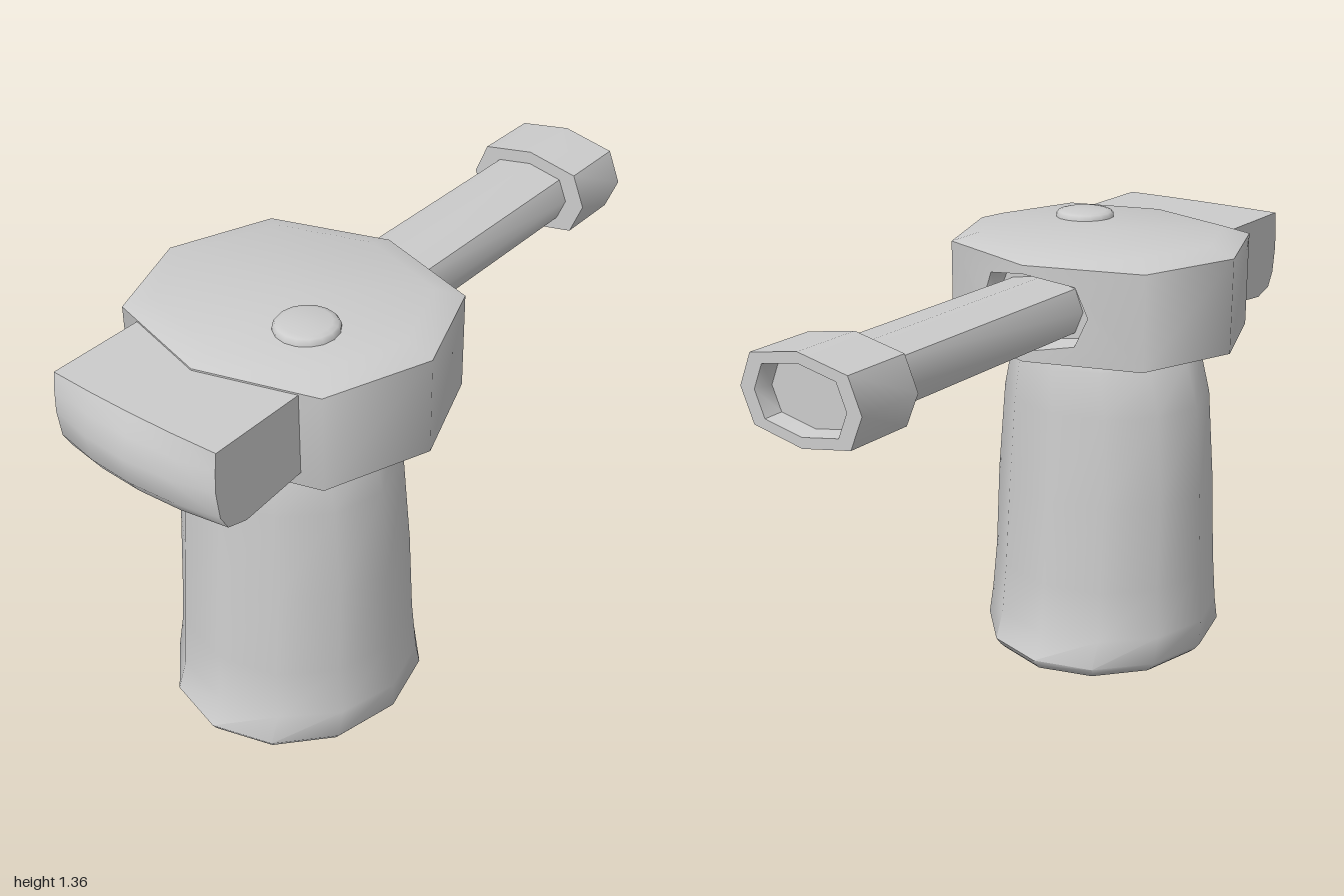
import * as THREE from 'three';
import { mergeGeometries, toCreasedNormals } from 'three/addons/utils/BufferGeometryUtils.js';

const material = new THREE.MeshStandardMaterial({ color: 0xcccccc });
const CX = -0.335, AXIS_Y = 1.17;
const V = (x, y, z) => new THREE.Vector3(x, y, z);

// Joins closed rings of equal length; capStart / capEnd are optional centre points
function loft(rings, { capStart, capEnd, skip = () => false } = {}) {
  const pos = [];
  const tri = (...pts) => pts.forEach(p => pos.push(p.x, p.y, p.z));
  const n = rings[0].length, last = rings[rings.length - 1];
  for (let i = 0; i < n; i++) {
    const j = (i + 1) % n;
    for (let k = 0; k + 1 < rings.length; k++) {
      if (skip(k, i)) continue;
      const a = rings[k], b = rings[k + 1];
      tri(a[i], a[j], b[j]);
      tri(a[i], b[j], b[i]);
    }
    if (capStart) tri(capStart, rings[0][j], rings[0][i]);
    if (capEnd) tri(capEnd, last[i], last[j]);
  }
  const g = new THREE.BufferGeometry();
  g.setAttribute('position', new THREE.Float32BufferAttribute(pos, 3));
  return g;
}

function part(name, geometry, crease = 0.95) {
  const mesh = new THREE.Mesh(toCreasedNormals(geometry, crease), material);
  mesh.name = name;
  return mesh;
}

// Flattened octagon around the barrel axis; x may depend on z
const OCT = [[0.125, 0], [0.095, 0.16], [0, 0.2], [-0.095, 0.16], [-0.125, 0], [-0.095, -0.16], [0, -0.2], [0.095, -0.16]];
const oct = (x, s) => OCT.map(([y, z]) => V(typeof x === 'function' ? x(z * s) : x, AXIS_Y + y * s, z * s));
const wallX = z => 0.075 - 0.11 / 0.34 * Math.abs(z);

// Octagonal head with an opening for the barrel folded over its +x corner
function headGeometry() {
  const plan = [[0, 0.453], [0.3, 0.34], [0.41, 0], [0.3, -0.34], [0, -0.453], [-0.3, -0.34], [-0.4, 0], [-0.3, 0.34]];
  const rings = [[1.003, 0.82], [1.025, 1], [1.31, 1], [1.335, 0.82]]
    .map(([y, s]) => plan.map(([x, z]) => V(CX + x * s, y, z * s)));
  const shell = loft(rings, {
    capStart: V(CX, 1, 0), capEnd: V(CX, 1.341, 0),
    skip: (k, i) => k === 1 && (i === 1 || i === 2),
  });
  const pieces = [shell];
  const s = 0.92;
  for (const side of [-1, 1]) {
    const outline = [[0, 1.025], [0.34, 1.025], [0.34, 1.31], [0, 1.31],
      ...OCT.slice(0, 5).map(([y, z]) => [z * s, AXIS_Y + y * s])];
    const wall = new THREE.ShapeGeometry(new THREE.Shape(outline.map(([u, v]) => new THREE.Vector2(side * u, v)))).toNonIndexed();
    wall.deleteAttribute('uv');
    wall.deleteAttribute('normal');
    const p = wall.attributes.position;
    for (let i = 0; i < p.count; i++) p.setXYZ(i, wallX(p.getX(i)), p.getY(i), -p.getX(i));
    pieces.push(wall);
  }
  // recess behind the opening
  pieces.push(loft([oct(wallX, s), oct(-0.03, 0.82)], { capEnd: V(-0.03, AXIS_Y, 0) }));
  return mergeGeometries(pieces);
}

// Grip: elliptical sections as [y, x min, x max, z min, z max]
function gripGeometry() {
  const sections = [
    [0, -0.72, 0.01, -0.345, 0.32], [0.015, -0.735, 0.025, -0.362, 0.337], [0.038, -0.75, 0.04, -0.38, 0.355],
    [0.12, -0.71, 0.0, -0.38, 0.355], [0.28, -0.7, -0.013, -0.367, 0.341], [0.55, -0.675, -0.035, -0.36, 0.335],
    [0.83, -0.66, -0.05, -0.337, 0.312], [0.97, -0.652, -0.06, -0.295, 0.28], [1.0, -0.64, -0.07, -0.27, 0.26],
    [1.01, -0.6, -0.11, -0.23, 0.22]];
  const rings = sections.map(([y, x0, x1, z0, z1]) => Array.from({ length: 12 }, (_, i) => {
    const a = i / 12 * Math.PI * 2;
    return V((x0 + x1) / 2 + Math.sin(a) * (x1 - x0) / 2, y, (z0 + z1) / 2 + Math.cos(a) * (z1 - z0) / 2);
  }));
  return loft(rings, { capStart: V(-0.355, 0, -0.012), capEnd: V(-0.355, 1.01, -0.005) });
}

// Rear block: side profile [x, y, bulge], bowed outwards at the middle
function rearGeometry() {
  const profile = [[-0.5, 1.08, 0], [-0.5, 1.305, 0], [-0.95, 1.305, 0.008], [-0.957, 1.25, 0.025],
    [-0.96, 1.19, 0.04], [-0.95, 1.11, 0.037], [-0.925, 1.065, 0.03], [-0.86, 1.046, 0]];
  const rings = [-1, -0.5, 0, 0.5, 1].map(t =>
    profile.map(([x, y, b]) => V(x - b * (1 - t * t), y, 0.008 + t * 0.272)));
  return loft(rings, { capStart: V(-0.73, 1.18, -0.264), capEnd: V(-0.73, 1.18, 0.28) });
}

export function createModel() {
  const model = new THREE.Group();
  model.name = 'handheldDevice';

  model.add(part('grip', gripGeometry()));
  model.add(part('head', headGeometry()));
  model.add(part('rearBlock', rearGeometry(), 0.7));

  // Barrel and its hollow tip
  model.add(part('barrel', loft([oct(-0.03, 0.69), oct(0.8, 0.69)])));
  model.add(part('barrelTip', loft([oct(0.79, 1), oct(1, 1), oct(1, 0.76), oct(0.95, 0.7)], {
    capStart: V(0.79, AXIS_Y, 0), capEnd: V(0.95, AXIS_Y, 0),
  })));

  // Round button on top of the head
  const profile = [[0.09, 1.325], [0.09, 1.345], [0.083, 1.354], [0.068, 1.358], [0, 1.36]];
  const button = part('button', new THREE.LatheGeometry(profile.map(p => new THREE.Vector2(...p)), 16));
  button.position.set(-0.445, 0, 0.135);
  model.add(button);

  return model;
}
